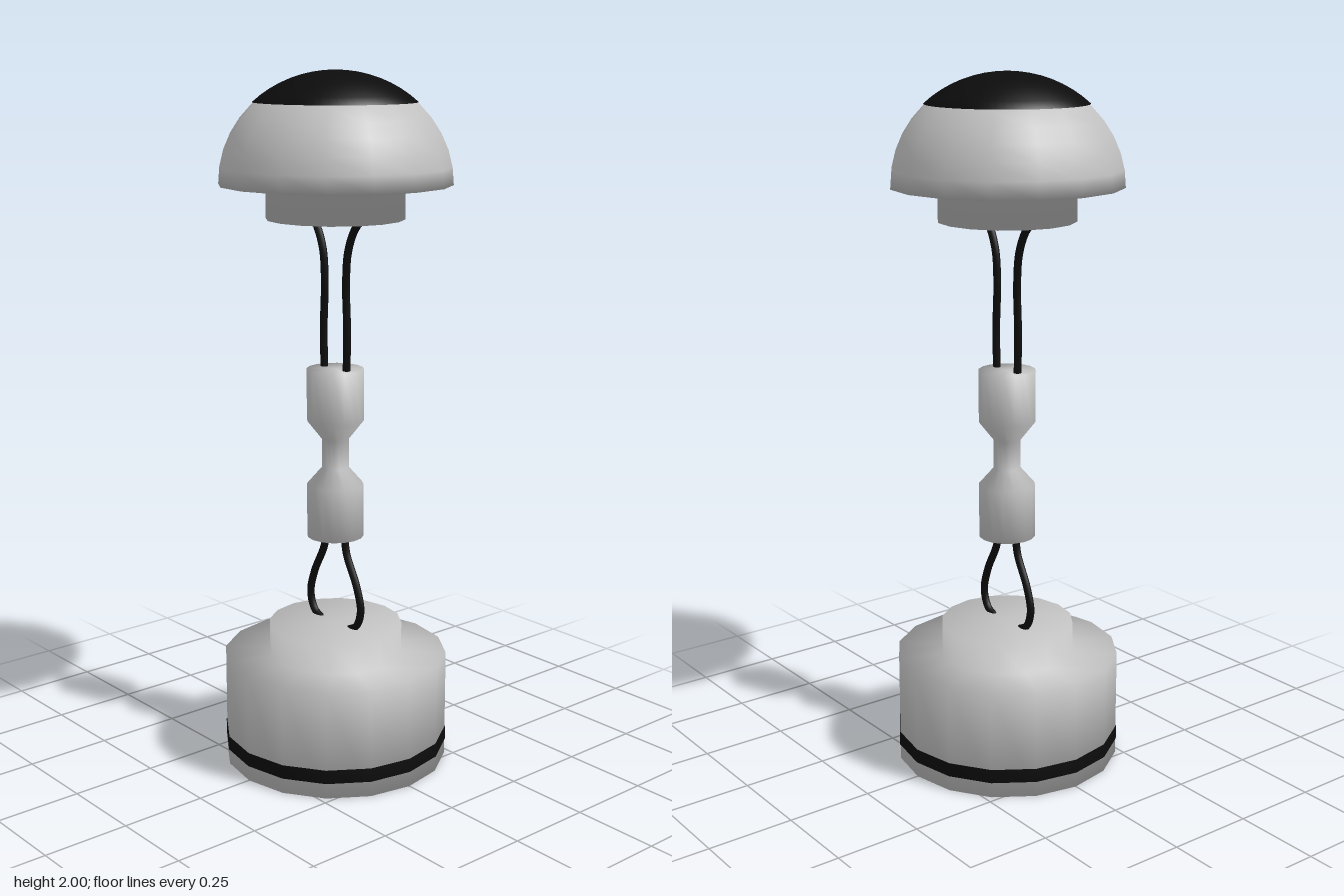
import * as THREE from 'three';

export function createModel() {
  const group = new THREE.Group();
  const grey = new THREE.MeshStandardMaterial({ color: 0xc0c0c0 });
  grey.name = 'light grey';
  const black = new THREE.MeshStandardMaterial({ color: 0x0c0c0c });
  black.name = 'black';

  const add = (name, geometry, material) => {
    const mesh = new THREE.Mesh(geometry, material);
    mesh.name = name;
    group.add(mesh);
  };
  // Profiles run from bottom to top as [radius, height]
  const turned = (name, profile, material, sides = 16) =>
    add(name, new THREE.LatheGeometry(profile.map(p => new THREE.Vector2(...p)), sides), material);

  // Base with raised collar
  turned('base', [[0, 0], [0.327, 0], [0.327, 0.32], [0.195, 0.32], [0.195, 0.41], [0, 0.41]], grey);
  turned('baseStripe', [[0.326, 0.045], [0.329, 0.045], [0.329, 0.085], [0.326, 0.085]], black);

  // Waisted connector between the cords
  turned('connector', [[0, 0.675], [0.082, 0.675], [0.082, 0.83], [0.039, 0.88],
    [0.039, 0.965], [0.082, 1.02], [0.082, 1.17], [0, 1.17]], grey);

  // Dome: quarter ellipse above a short neck
  const domeRadius = 0.327, domeBase = 1.69, domeHeight = 0.308;
  const arc = (from, to, steps, grow = 0) => Array.from({ length: steps + 1 }, (_, i) => {
    const a = from + (to - from) * i / steps;
    return [Math.max(0, (domeRadius + grow) * Math.cos(a)), domeBase + (domeHeight + grow) * Math.sin(a)];
  });
  turned('dome', [[0, 1.595], [0.195, 1.595], [0.195, domeBase], ...arc(0, Math.PI / 2, 10)], grey);

  // Round dark cap lying just over the dome
  const cap = arc(Math.acos(0.228 / 0.329), Math.PI / 2, 8, 0.002);
  turned('domeCap', [[0.215, cap[0][1]], ...cap], black, 64);

  // Mirrored pairs of cords
  const cord = (name, points, side) => {
    const curve = new THREE.CatmullRomCurve3(points.map(([x, y]) => new THREE.Vector3(x * side, y, 0)));
    add(name, new THREE.TubeGeometry(curve, 28, 0.011, 8), black);
  };
  for (const [label, side] of [['left', 1], ['right', -1]]) {
    cord(label + 'UpperCord', [[0.12, 1.605], [0.085, 1.575], [0.055, 1.51], [0.046, 1.42],
      [0.051, 1.28], [0.048, 1.15]], side);
    cord(label + 'LowerCord', [[0.04, 0.69], [0.05, 0.63], [0.095, 0.54], [0.113, 0.47],
      [0.095, 0.42], [0.06, 0.4]], side);
  }
  return group;
}
